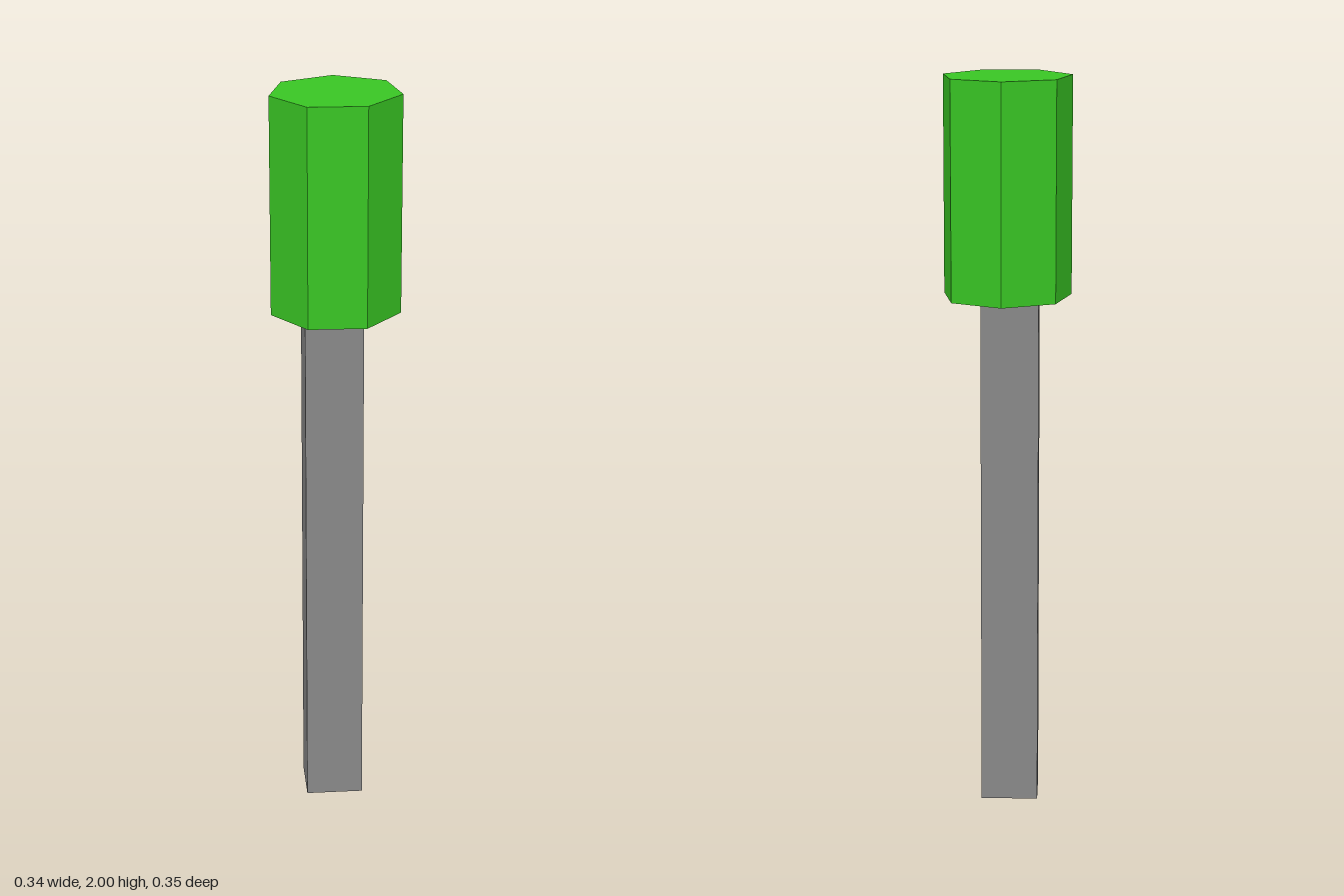
import * as THREE from 'three';

export function createModel() {
  const model = new THREE.Group();
  const green = new THREE.MeshStandardMaterial({ color: 0x39c624 });
  green.name = 'leaf green';
  const grey = new THREE.MeshStandardMaterial({ color: 0x888888 });
  grey.name = 'post grey';

  const headBottom = 1.415;
  const top = 2;

  // Square post, slightly off centre, meeting the underside of the head
  const post = new THREE.Mesh(new THREE.BoxGeometry(0.155, headBottom, 0.146), grey);
  post.name = 'post';
  post.position.set(-0.008, headBottom / 2, 0.018);
  model.add(post);

  // Slightly irregular seven-sided head: outline as [x, z], extruded upwards
  const outline = [
    [0.07, 0.174], [0.171, 0.052], [0.144, -0.105], [0.01, -0.176],
    [-0.131, -0.111], [-0.172, 0.042], [-0.084, 0.17],
  ];
  const shape = new THREE.Shape(outline.map(([x, z]) => new THREE.Vector2(x, -z)));
  const geometry = new THREE.ExtrudeGeometry(shape, { depth: top - headBottom, bevelEnabled: false });
  geometry.rotateX(-Math.PI / 2);
  const head = new THREE.Mesh(geometry, green);
  head.name = 'head';
  head.position.y = headBottom;
  model.add(head);

  return model;
}
